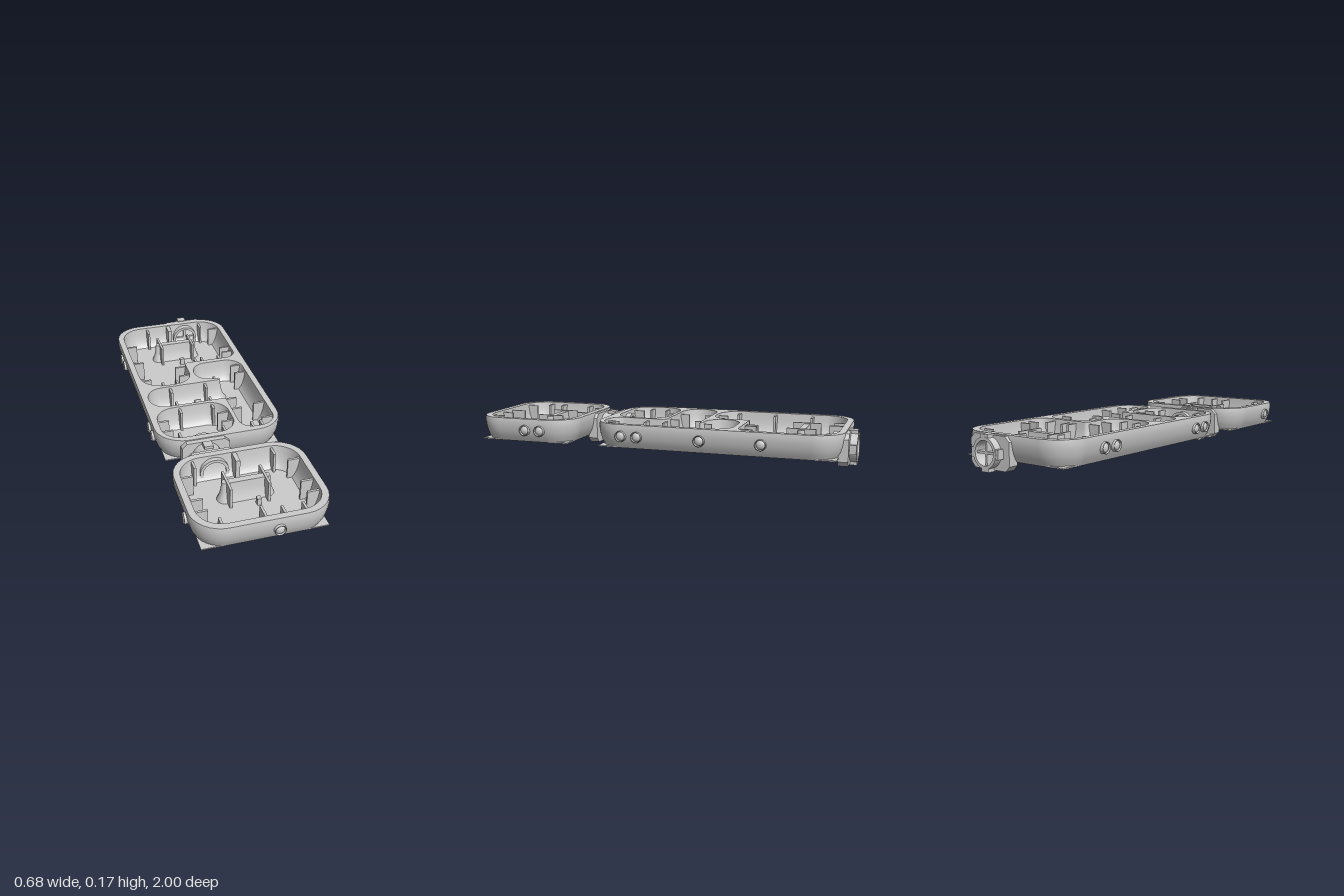
import * as THREE from 'three';

const mat = new THREE.MeshStandardMaterial({ color: 0xcccccc, side: THREE.DoubleSide });
const TOP = 0.171, FLOOR = 0.053, BOTTOM = 0.047;

function add(parent, name, geometry, x = 0, y = 0, z = 0) {
  const mesh = new THREE.Mesh(geometry, mat);
  mesh.name = name;
  mesh.position.set(x, y, z);
  parent.add(mesh);
  return mesh;
}
const box = (parent, name, w, h, d, x, y, z) => add(parent, name, new THREE.BoxGeometry(w, h, d), x, y, z);

// Right-angled outline with rounded corners [x, z, radius], moved inwards by inset
function outline(corners, inset = 0, steps = 8) {
  const n = corners.length, pts = [];
  const dir = (p, q) => new THREE.Vector2(q[0] - p[0], q[1] - p[1]).normalize();
  for (let i = 0; i < n; i++) {
    const p = corners[i];
    const a = dir(corners[(i + n - 1) % n], p), b = dir(p, corners[(i + 1) % n]);
    const turn = Math.sign(a.x * b.y - a.y * b.x);
    const na = new THREE.Vector2(-a.y, a.x), nb = new THREE.Vector2(-b.y, b.x);
    const r = Math.max(0.004, p[2] - turn * inset);
    const k = inset + turn * r;
    const cx = p[0] + k * (na.x + nb.x), cz = p[1] + k * (na.y + nb.y);
    for (let j = 0; j <= steps; j++) {
      const t = (j / steps) * Math.PI / 2, c = turn * r * Math.cos(t), s = turn * r * Math.sin(t);
      pts.push(new THREE.Vector2(cx - c * na.x - s * nb.x, cz - c * na.y - s * nb.y));
    }
  }
  return pts;
}

// Wall that follows an outline; profile lists [y, inset] from top to bottom
function wall(corners, profile, inward) {
  const pos = [], index = [];
  const rings = profile.map(([y, d]) => outline(corners, d).map(p => [p.x, y, p.y]));
  const n = rings[0].length;
  rings.forEach(r => r.forEach(p => pos.push(...p)));
  for (let i = 0; i < rings.length - 1; i++) {
    for (let j = 0; j < n; j++) {
      const a = i * n + j, b = i * n + (j + 1) % n, c = a + n, d = b + n;
      if (inward) index.push(a, c, b, b, c, d);
      else index.push(a, b, c, b, d, c);
    }
  }
  const g = new THREE.BufferGeometry();
  g.setAttribute('position', new THREE.Float32BufferAttribute(pos, 3));
  g.setIndex(index);
  g.computeVertexNormals();
  return g;
}

const rect = (x0, z0, x1, z1, r) => [[x0, z0, r], [x1, z0, r], [x1, z1, r], [x0, z1, r]];
const flat = pts => pts.map(p => new THREE.Vector2(p.x, -p.y));

function lid(corners, holes, y, inset = 0) {
  const shape = new THREE.Shape(flat(outline(corners, inset)));
  holes.forEach(h => shape.holes.push(new THREE.Path(flat(outline(h)))));
  return new THREE.ShapeGeometry(shape).rotateX(-Math.PI / 2).translate(0, y, 0);
}

// Tray: barrel-sided shell, flat rim, bowl-shaped cells and a square base sheet
function tray(name, z0, z1, cells) {
  const g = new THREE.Group();
  g.name = name;
  const edge = rect(-0.33, z0, 0.33, z1, 0.15);
  add(g, 'outerShell', wall(edge,
    [[TOP, 0.003], [0.15, 0], [0.125, 0.002], [0.1, 0.007], [0.075, 0.015], [BOTTOM, 0.03]], false));
  add(g, 'rim', lid(edge, cells, TOP, 0.003));
  cells.forEach(c => add(g, 'cellWall', wall(c,
    [[TOP, 0], [0.14, 0.003], [0.11, 0.008], [0.085, 0.016], [0.067, 0.025], [FLOOR, 0.036]], true)));
  box(g, 'baseSheet', 0.6, FLOOR - BOTTOM, z1 - z0 - 0.06, 0, (FLOOR + BOTTOM) / 2, (z0 + z1) / 2);
  return g;
}

// Thin upright fins: [x, z, length, alongX]
function fins(g, list) {
  list.forEach(([x, z, len, alongX]) =>
    box(g, 'fin', alongX ? len : 0.012, 0.107, alongX ? 0.012 : len, x, FLOOR + 0.0535, z));
}

// Free-standing holder with a flared foot and two cross fins
function holder(g, z) {
  const c = rect(-0.14, z - 0.038, 0.14, z + 0.038, 0.036);
  add(g, 'holder', wall(c, [[0.155, 0.022], [0.11, 0.018], [0.08, 0.01], [FLOOR, 0]], false));
  add(g, 'holderTop', lid(c, [], 0.155, 0.022));
  fins(g, [[-0.093, z, 0.145, false], [0.093, z, 0.145, false]]);
}

// Ringed stud set into a side wall; turn points its axis outwards
function stud(g, x, z, turn) {
  const s = new THREE.Group();
  s.name = 'stud';
  add(s, 'studRing', new THREE.LatheGeometry(
    [[0.024, -0.01], [0.024, 0.011], [0.028, 0.011], [0.028, -0.01]].map(p => new THREE.Vector2(...p)), 24)
    .rotateX(Math.PI / 2));
  add(s, 'studDome', new THREE.SphereGeometry(0.023, 20, 12).scale(1, 1, 0.6));
  s.position.set(x, 0.111, z);
  s.rotation.y = turn;
  g.add(s);
}

// Connector: hollow sleeve with spokes and four outer lugs
function connector(g, x, z0, z1, lugZ) {
  const c = new THREE.Group(), L = z1 - z0, mid = (z0 + z1) / 2;
  c.name = 'connector';
  c.position.set(x, 0.086, 0);
  const profile = [[0.058, -L / 2], [0.073, -L / 2], [0.073, L / 2], [0.058, L / 2], [0.058, -L / 2]];
  const geo = new THREE.LatheGeometry(profile.map(p => new THREE.Vector2(...p)), 32).toNonIndexed();
  geo.computeVertexNormals();
  add(c, 'sleeve', geo.rotateX(Math.PI / 2), 0, 0, mid);
  box(c, 'spoke', 0.012, 0.12, L * 0.8, 0, 0, mid);
  box(c, 'spoke', 0.12, 0.012, L * 0.8, 0, 0, mid);
  for (let i = 0; i < 4; i++) {
    const a = i * Math.PI / 2;
    box(c, 'lug', 0.022, 0.046, 0.045, 0.075 * Math.cos(a), 0.075 * Math.sin(a), lugZ).rotation.z = a;
  }
  g.add(c);
}

// Chamfered flange plate with a round opening
function flange(g, x, z0, z1) {
  const w = 0.123, k = 0.025, y0 = 0.007, y1 = 0.166;
  const s = new THREE.Shape([[-w + k, y0], [w - k, y0], [w, y0 + k], [w, y1 - k], [w - k, y1],
    [-w + k, y1], [-w, y1 - k], [-w, y0 + k]].map(p => new THREE.Vector2(...p)));
  s.holes.push(new THREE.Path().absarc(0, 0.086, 0.073, 0, Math.PI * 2, true));
  add(g, 'flange', new THREE.ExtrudeGeometry(s, { depth: z1 - z0, bevelEnabled: false, curveSegments: 24 }), x, 0, z0);
}

export function createModel() {
  const model = new THREE.Group();
  model.name = 'linkedTrays';

  // Large tray: L-shaped cell, branching corridor and a corner cell
  const large = tray('largeTray', -0.95, 0.315, [
    [[-0.295, -0.915, 0.12], [0.295, -0.915, 0.12], [0.295, -0.435, 0.06],
      [-0.015, -0.435, 0.02], [-0.015, -0.225, 0.1], [-0.295, -0.225, 0.12]],
    [[0.01, -0.405, 0.085], [0.295, -0.405, 0.09], [0.295, 0.28, 0.09], [0.105, 0.28, 0.07], [0.105, -0.015, 0.02],
      [-0.295, -0.015, 0.09], [-0.295, -0.205, 0.09], [0.13, -0.205, 0.008], [0.13, -0.225, 0.008], [0.01, -0.225, 0.085]],
    rect(-0.295, 0.005, 0.085, 0.28, 0.1),
  ]);
  holder(large, -0.72);
  box(large, 'wallRib', 0.022, 0.11, 0.09, 0, 0.112, -0.89);
  box(large, 'post', 0.025, 0.04, 0.02, 0.02, 0.07, -0.63);
  box(large, 'post', 0.035, 0.04, 0.07, -0.012, 0.07, -0.125);
  fins(large, [
    [-0.265, -0.72, 0.06, true], [-0.265, -0.52, 0.06, true], [-0.265, -0.32, 0.06, true],
    [0.265, -0.82, 0.06, true], [0.265, -0.575, 0.06, true], [0.265, -0.52, 0.06, true],
    [-0.13, -0.885, 0.06, false], [0.195, -0.885, 0.06, false],
    [-0.18, -0.25, 0.055, false], [-0.1, -0.25, 0.055, false],
    [-0.045, -0.415, 0.06, true], [-0.045, -0.32, 0.06, true],
    [0.06, -0.465, 0.06, false], [0.1, -0.465, 0.06, false], [0.2, -0.465, 0.06, false],
    [0.265, -0.35, 0.06, true], [0.265, -0.27, 0.06, true], [0.11, -0.245, 0.04, false],
    [-0.155, -0.18, 0.05, false], [0.04, -0.18, 0.05, false],
    [-0.155, -0.04, 0.05, false], [0.03, -0.04, 0.05, false],
    [0.135, -0.02, 0.06, true], [0.135, 0.08, 0.06, true], [0.265, 0.06, 0.06, true], [0.265, 0.2, 0.06, true],
    [0.17, 0.25, 0.06, false], [0.22, 0.25, 0.06, false],
    [-0.265, 0.1, 0.06, true], [-0.265, 0.19, 0.06, true], [0.055, 0.1, 0.06, true], [0.055, 0.18, 0.06, true],
    [-0.155, 0.03, 0.05, false], [0.02, 0.03, 0.05, false], [-0.21, 0.25, 0.06, false], [0.02, 0.25, 0.06, false],
  ]);

  // Small tray: one open cell
  const small = tray('smallTray', 0.43, 0.985, [rect(-0.295, 0.465, 0.295, 0.95, 0.12)]);
  holder(small, 0.654);
  box(small, 'wallRib', 0.022, 0.11, 0.09, 0, 0.112, 0.49);
  box(small, 'post', 0.02, 0.04, 0.025, 0.04, 0.07, 0.73);
  fins(small, [
    [-0.21, 0.495, 0.06, false], [0.19, 0.495, 0.06, false],
    [-0.265, 0.58, 0.06, true], [-0.265, 0.75, 0.06, true], [-0.265, 0.83, 0.06, true],
    [0.265, 0.58, 0.06, true], [0.265, 0.75, 0.06, true], [0.265, 0.83, 0.06, true],
    [-0.2, 0.92, 0.06, false], [0, 0.905, 0.08, false], [0.09, 0.92, 0.06, false], [0.19, 0.92, 0.06, false],
  ]);

  // Side studs
  [-0.565, -0.26, 0.065, 0.15].forEach(z => stud(large, 0.328, z, Math.PI / 2));
  [-0.68, -0.6, 0.06, 0.14].forEach(z => stud(large, -0.328, z, -Math.PI / 2));
  [0.605, 0.69].forEach(z => stud(small, 0.328, z, Math.PI / 2));
  stud(small, -0.328, 0.8, -Math.PI / 2);
  stud(small, 0.05, 0.985, 0);

  // Link between the trays and the open one at the back
  connector(model, -0.102, 0.25, 0.49, 0.367);
  flange(model, -0.102, 0.3, 0.338);
  flange(model, -0.102, 0.412, 0.463);
  connector(model, 0.102, -1, -0.88, -0.975);
  flange(model, 0.102, -0.965, -0.915);

  model.add(large, small);
  return model;
}
